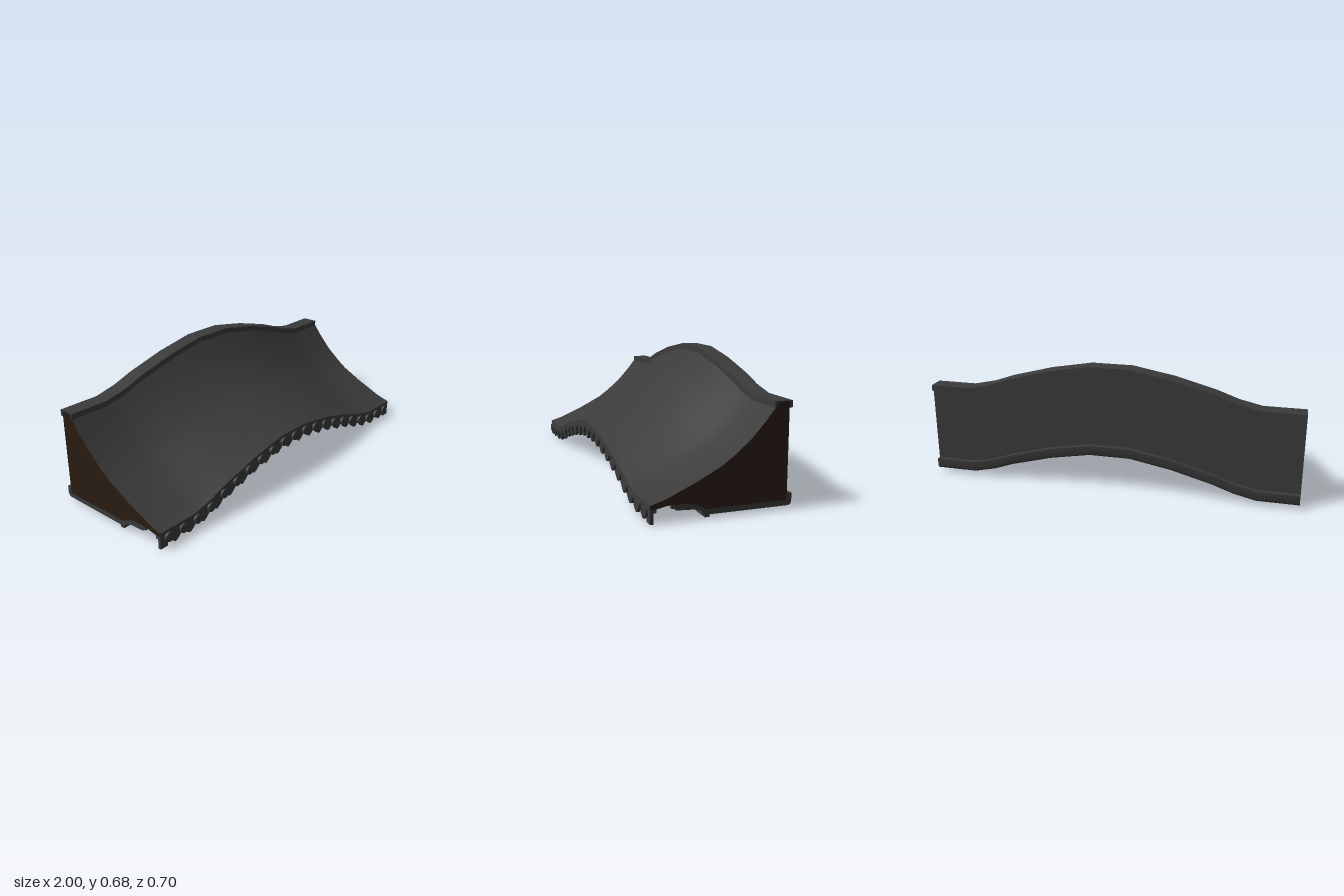
import * as THREE from 'three';
import { toCreasedNormals } from 'three/addons/utils/BufferGeometryUtils.js';

const tile = new THREE.MeshStandardMaterial({ color: 0x3b3b3b, side: THREE.DoubleSide });
const wood = new THREE.MeshStandardMaterial({ color: 0x2a1d13, side: THREE.DoubleSide });

// Height of the wave along x, as stations [x, lift]
const half = [[0.11, 0.165], [0.33, 0.125], [0.55, 0.066], [0.66, 0.027], [0.78, 0], [1, 0]];
const stations = [...half.map(([x, y]) => [-x, y]).reverse(), ...half];

function lift(x) {
  for (let i = 1; i < stations.length; i++) {
    const [x0, y0] = stations[i - 1], [x1, y1] = stations[i];
    if (x <= x1) return y0 + (y1 - y0) * (x - x0) / (x1 - x0);
  }
  return 0;
}

// Outline given as [z, y] points
const outline = (points) => new THREE.Shape(points.map(([z, y]) => new THREE.Vector2(-z, y)));

// Carry a section along the whole wave
function sweep(name, points, capMaterial = tile, inset = 0) {
  const n = stations.length - 1;
  let geo = new THREE.ExtrudeGeometry(outline(points), { depth: n, steps: n, bevelEnabled: false });
  const p = geo.attributes.position;
  for (let i = 0; i < p.count; i++) {
    const [x, dy] = stations[Math.round(p.getZ(i))];
    p.setXYZ(i, x * (1 - inset), p.getY(i) + dy, -p.getX(i));
  }
  const groups = geo.groups;
  geo = toCreasedNormals(geo, 0.5);
  geo.clearGroups();
  groups.forEach((g) => geo.addGroup(g.start, g.count, g.materialIndex));
  const mesh = new THREE.Mesh(geo, [capMaterial, tile]);
  mesh.name = name;
  return mesh;
}

// Repeat one geometry at the given x positions, following the wave
function repeat(name, geo, xs) {
  const group = new THREE.Group();
  group.name = name;
  for (const x of xs) {
    const mesh = new THREE.Mesh(geo, tile);
    mesh.name = name;
    mesh.position.set(x, lift(x), 0);
    group.add(mesh);
  }
  return group;
}

export function createModel() {
  const model = new THREE.Group();
  model.name = 'wavyRoof';

  // Curved roof slope, back wall and soffit, with wooden gable ends
  model.add(sweep('roofBody', [
    [0.34, 0.088], [0.26, 0.113], [0.2, 0.14], [0.12, 0.175], [0, 0.237], [-0.06, 0.28],
    [-0.14, 0.347], [-0.21, 0.423], [-0.255, 0.48], [-0.277, 0.508], [-0.327, 0.508],
    [-0.327, 0.045], [0.08, 0.045], [0.1, 0.06], [0.13, 0.073], [0.18, 0.081],
    [0.26, 0.08], [0.31, 0.07], [0.34, 0.07],
  ], wood));

  // Ridge beam along the top
  model.add(sweep('ridge', [[-0.255, 0.478], [-0.255, 0.51], [-0.343, 0.51], [-0.343, 0.478]], tile, 0.0005));

  // Rounded rail at the foot of the back wall
  model.add(sweep('backRail', [
    [-0.31, 0.078], [-0.352, 0.078], [-0.352, 0.036], [-0.347, 0.026], [-0.337, 0.02], [-0.31, 0.02],
  ], tile, 0.0005));

  // Long beam under the eaves, and the strip behind the tile ends
  model.add(sweep('eavesBeam', [[0.082, 0.05], [0.06, 0.05], [0.06, 0.008], [0.082, 0.008]], tile, 0.0005));
  model.add(sweep('eavesStrip', [[0.338, 0.075], [0.31, 0.075], [0.31, 0.053], [0.338, 0.053]], tile, 0.0005));

  // Rafters and curved brackets under the soffit
  const rafterX = Array.from({ length: 10 }, (_, i) => -0.99 + i * 0.22);
  const rafter = new THREE.BoxGeometry(0.02, 0.028, 0.38);
  rafter.translate(0, 0.034, -0.125);
  model.add(repeat('rafter', rafter, rafterX));

  const bracket = new THREE.ExtrudeGeometry(outline([
    [0.24, 0.082], [0.24, 0.064], [0.225, 0.062], [0.22, 0.055], [0.13, 0.05], [0.105, 0.043],
    [0.092, 0.032], [0.086, 0.018], [0.07, 0.018], [0.07, 0.05], [0.1, 0.065], [0.14, 0.082],
  ]), { depth: 0.02, bevelEnabled: false });
  bracket.rotateY(Math.PI / 2);
  bracket.translate(-0.01, 0, 0);
  model.add(repeat('bracket', bracket, rafterX));

  // Round tile ends along the front edge
  const pitch = 0.095;
  const roundEnd = new THREE.CylinderGeometry(0.024, 0.024, 0.037, 16);
  roundEnd.rotateX(Math.PI / 2);
  roundEnd.translate(0, 0.051, 0.3335);
  model.add(repeat('roundTileEnd', roundEnd, Array.from({ length: 21 }, (_, i) => (i - 10) * pitch)));

  // Hanging drip tiles between them
  const drip = new THREE.Shape();
  drip.moveTo(-0.045, 0.072);
  drip.lineTo(-0.045, 0.04);
  drip.quadraticCurveTo(-0.025, 0.012, 0, 0);
  drip.quadraticCurveTo(0.025, 0.012, 0.045, 0.04);
  drip.lineTo(0.045, 0.072);
  const dripTile = new THREE.ExtrudeGeometry(drip, { depth: 0.015, bevelEnabled: false, curveSegments: 5 });
  dripTile.translate(0, 0, 0.324);
  model.add(repeat('dripTile', dripTile, Array.from({ length: 20 }, (_, i) => (i - 9.5) * pitch)));

  // Small end plates closing the front edge
  const endPlate = new THREE.BoxGeometry(0.045, 0.07, 0.015);
  endPlate.translate(0, 0.037, 0.3315);
  model.add(repeat('endPlate', endPlate, [-0.9765, 0.9765]));

  return model;
}
